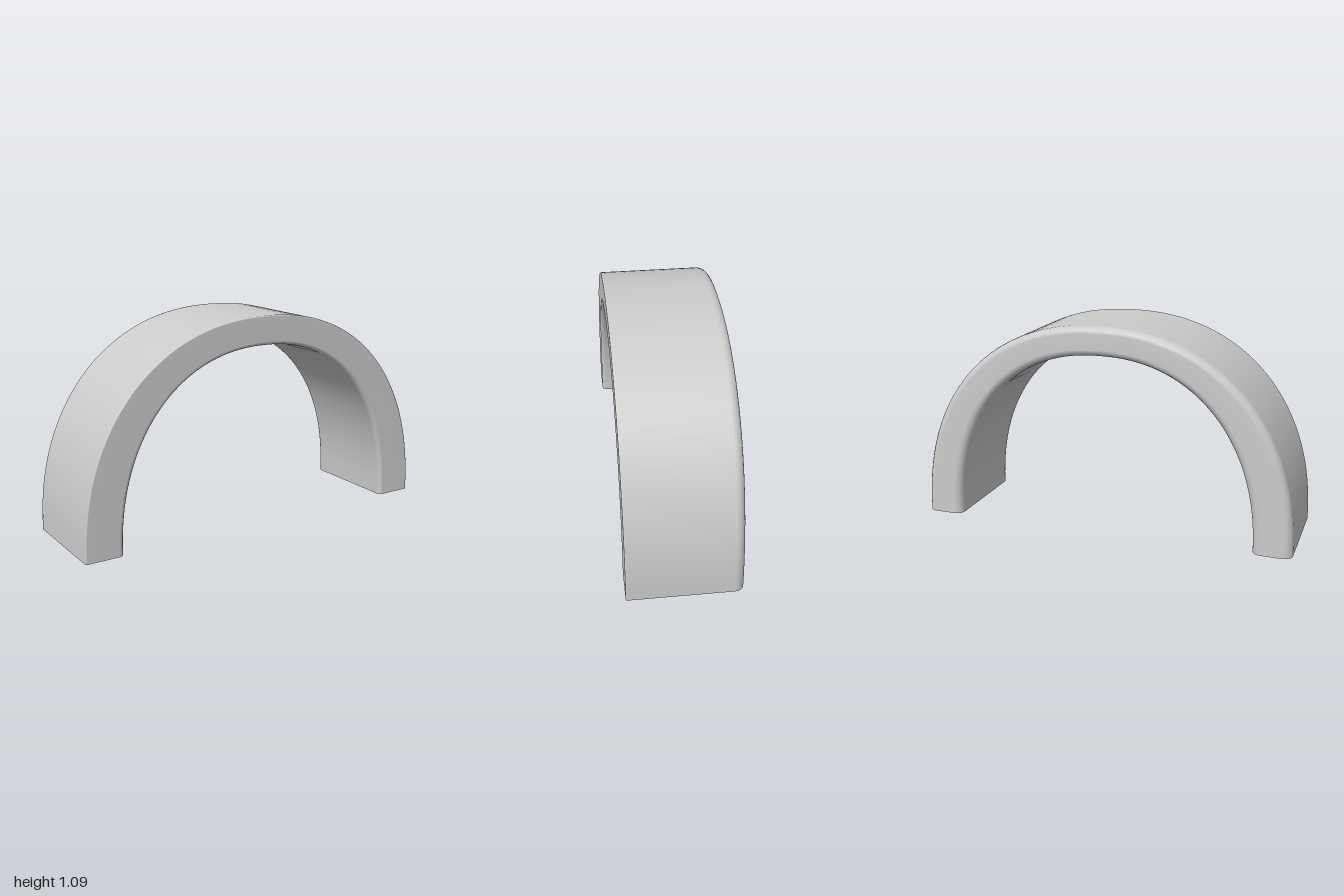
import * as THREE from 'three';

const DEPTH = 0.285; // half depth
const POWER = 2.22;  // squareness of the arch curve
const STEPS = 72;

// Point on a rounded arch with half width a and height b
function archPoint(t, a, b) {
  const c = Math.cos(t), s = Math.max(0, Math.sin(t));
  return [a * Math.sign(c) * Math.abs(c) ** (2 / POWER), b * s ** (2 / POWER)];
}

// Rounded corner of the section: w runs from outer (0) to inner (0.2), z front to back
function corner(w, z, r, startAngle) {
  const n = 4, pts = [];
  const cw = w === 0 ? r : w - r, cz = z > 0 ? z - r : z + r;
  for (let i = 0; i <= n; i++) {
    const a = startAngle + (i / n) * Math.PI / 2;
    pts.push([cw - r * Math.sin(a), cz + r * Math.cos(a)]);
  }
  return pts;
}

// Closed section: crisp front edges, softer back edges
function sectionPoints() {
  return [
    ...corner(0, DEPTH, 0.008, 0),
    ...corner(0, -DEPTH, 0.045, Math.PI / 2),
    ...corner(0.2, -DEPTH, 0.045, Math.PI),
    ...corner(0.2, DEPTH, 0.025, Math.PI * 1.5),
  ];
}

// Sweep the section along the arch, leaving the feet open
function archGeometry() {
  const section = sectionPoints(), m = section.length;
  const positions = [], index = [];
  for (let i = 0; i <= STEPS; i++) {
    const t = (i / STEPS) * Math.PI;
    const [ox, oy] = archPoint(t, 1, 1.085);
    const [ix, iy] = archPoint(t, 0.8, 0.935);
    for (const [w, z] of section) {
      const u = w / 0.2;
      positions.push(ox + (ix - ox) * u, oy + (iy - oy) * u, z);
    }
  }
  for (let i = 0; i < STEPS; i++) {
    for (let j = 0; j < m; j++) {
      const a = i * m + j, b = i * m + (j + 1) % m;
      index.push(a, b, a + m, b, b + m, a + m);
    }
  }
  const geometry = new THREE.BufferGeometry();
  geometry.setAttribute('position', new THREE.Float32BufferAttribute(positions, 3));
  geometry.setIndex(index);
  geometry.computeVertexNormals();
  return geometry;
}

export function createModel() {
  const group = new THREE.Group();
  group.name = 'archModel';
  const material = new THREE.MeshStandardMaterial({ color: 0xcccccc, side: THREE.DoubleSide });
  const arch = new THREE.Mesh(archGeometry(), material);
  arch.name = 'arch';
  group.add(arch);
  return group;
}
